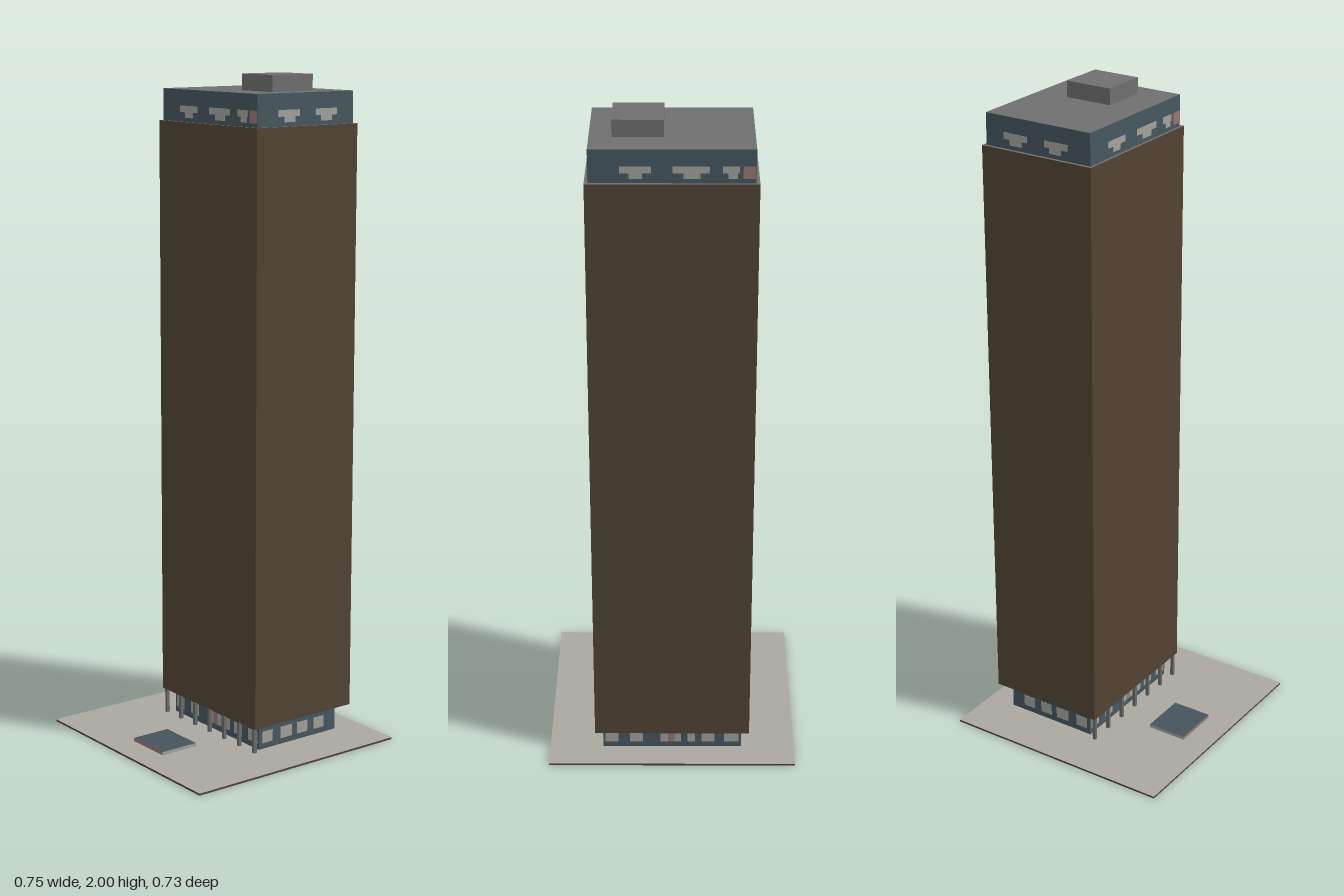
import * as THREE from 'three';

const mat = (name, color) => {
  const m = new THREE.MeshStandardMaterial({ color });
  m.name = name;
  return m;
};

export function createModel() {
  const root = new THREE.Group();
  root.name = 'towerBlock';

  const brown = mat('brownFacade', 0x524334);
  const soffit = mat('soffitBrown', 0x80684f);
  const roofGrey = mat('roofGrey', 0x6f6f6f);
  const paving = mat('paving', 0xaba8a1);
  const glass = mat('blueGlass', 0x465760);
  const pane = mat('litPane', 0xa3a29c);
  const rosePane = mat('rosePane', 0x9a7672);
  const columnGrey = mat('columnGrey', 0x6a6b6b);
  const water = mat('water', 0x47545c);

  // Box given by its limits; materials may be one, or six (+x -x +y -y +z -z)
  function block(name, material, [x0, x1], [y0, y1], [z0, z1], parent = root) {
    const m = new THREE.Mesh(new THREE.BoxGeometry(x1 - x0, y1 - y0, z1 - z0), material);
    m.position.set((x0 + x1) / 2, (y0 + y1) / 2, (z0 + z1) / 2);
    m.name = name;
    parent.add(m);
    return m;
  }

  // Thin lit panes on the four walls of a glazed storey
  function panes(name, X, Y, Z, alongX, alongZ) {
    const g = new THREE.Group();
    g.name = name;
    const t = 0.001;
    for (const [a, b, m = pane] of alongX) {
      block('frontPane', m, [a, b], Y, [Z[1], Z[1] + t], g);
      block('backPane', m, [-b, -a], Y, [Z[0] - t, Z[0]], g);
    }
    for (const [a, b, m = pane] of alongZ) {
      block('leftPane', m, [X[1], X[1] + t], Y, [a, b], g);
      block('rightPane', m, [X[0] - t, X[0]], Y, [a, b], g);
    }
    root.add(g);
  }

  // Plaza slab
  block('plaza', [brown, brown, paving, paving, brown, brown],
    [-0.375, 0.375], [0, 0.006], [-0.365, 0.365]);

  // Pool in front of the entrance
  block('pool', [pane, pane, water, pane, rosePane, rosePane],
    [-0.075, 0.073], [0.006, 0.016], [0.154, 0.278]);

  // Recessed lobby
  const lobbyX = [-0.212, 0.212], lobbyZ = [-0.275, 0.022];
  block('lobby', glass, lobbyX, [0.006, 0.085], lobbyZ);
  panes('lobbyPanes', lobbyX, [0.024, 0.06], lobbyZ,
    [[-0.205, -0.165], [-0.13, -0.09], [-0.035, -0.012], [-0.012, 0.008, rosePane],
      [0.008, 0.027], [0.048, 0.07], [0.09, 0.13], [0.16, 0.205]],
    [[-0.23, -0.19], [-0.165, -0.125], [-0.105, -0.06], [-0.03, 0.01]]);

  // Row of columns along the front
  for (let i = 0; i < 7; i++) {
    const x = -0.222 + i * 0.074;
    block('column', columnGrey, [x - 0.005, x + 0.005], [0.006, 0.083], [0.042, 0.052]);
  }

  // Main shaft
  block('shaft', [brown, brown, roofGrey, soffit, brown, brown],
    [-0.235, 0.235], [0.083, 1.858], [-0.315, 0.055]);

  // Glazed top storey with its roof and plant room
  const topX = [-0.225, 0.225], topZ = [-0.306, 0.047];
  block('topStorey', [glass, glass, roofGrey, glass, glass, glass], topX, [1.858, 1.952], topZ);
  // Each lit patch is a wide band above a narrower one
  panes('upperPanes', topX, [1.886, 1.905], topZ,
    [[-0.14, -0.055], [0.002, 0.1], [0.135, 0.18], [0.19, 0.224, rosePane]],
    [[-0.245, -0.165], [-0.107, -0.028]]);
  panes('lowerPanes', topX, [1.87, 1.886], topZ,
    [[-0.115, -0.08], [0.03, 0.075], [0.15, 0.175], [0.19, 0.224, rosePane]],
    [[-0.225, -0.185], [-0.09, -0.05]]);
  block('plantRoom', roofGrey, [0.022, 0.163], [1.952, 2], [-0.205, -0.057]);

  return root;
}
